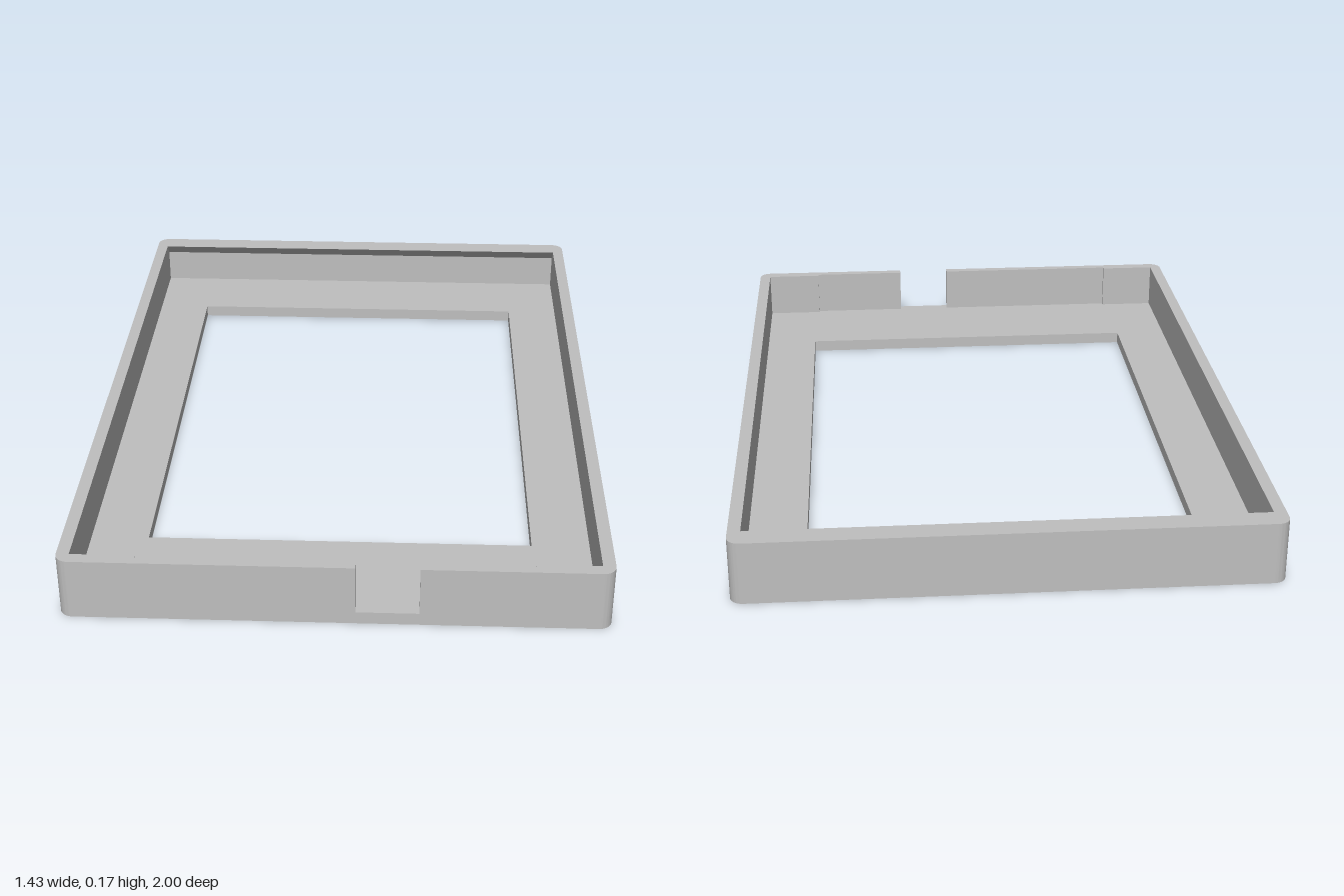
import * as THREE from 'three';
import { toCreasedNormals } from 'three/addons/utils/BufferGeometryUtils.js';

const W = 0.717, L = 1, R = 0.035;         // outer half width, half length, corner radius
const FLOOR = 0.035, HEIGHT = 0.173;       // floor thickness, total height
const INX = 0.683, INZ = 0.965;            // inner faces of the walls
const NOTCH = [0.055, 0.22];               // opening in the front wall
const RECESS_X = 0.513, RECESS_Z = 0.975;  // thinned middle of the front wall

// Outer outline with rounded corners, starting and ending on the front edge
function outline(startX, endX) {
  const s = new THREE.Shape();
  s.moveTo(startX, -L);
  s.lineTo(W - R, -L);
  s.absarc(W - R, -L + R, R, -Math.PI / 2, 0);
  s.absarc(W - R, L - R, R, 0, Math.PI / 2);
  s.absarc(-W + R, L - R, R, Math.PI / 2, Math.PI);
  s.absarc(-W + R, -L + R, R, Math.PI, Math.PI * 1.5);
  s.lineTo(endX, -L);
  return s;
}

// Extrude a plan shape (drawn with y = -z) upwards from y0 to y1
function slab(shape, y0, y1) {
  const g = new THREE.ExtrudeGeometry(shape, { depth: y1 - y0, bevelEnabled: false, curveSegments: 8 });
  g.rotateX(-Math.PI / 2).translate(0, y0, 0);
  return toCreasedNormals(g, 0.6);
}

export function createModel() {
  const group = new THREE.Group();
  const grey = new THREE.MeshStandardMaterial({ color: 0xbfbfbf });
  grey.name = 'light grey';
  const add = (name, geometry) => {
    const mesh = new THREE.Mesh(geometry, grey);
    mesh.name = name;
    group.add(mesh);
  };

  // Floor plate with the window opening, slightly off centre
  const floor = outline(0, 0);
  const win = new THREE.Path();
  win.moveTo(-0.525, -0.682);
  win.lineTo(-0.525, 0.742);
  win.lineTo(0.525, 0.742);
  win.lineTo(0.525, -0.682);
  win.closePath();
  floor.holes.push(win);
  add('floorFrame', slab(floor, 0, FLOOR));

  // Surrounding wall, open at the notch and thinner around it
  const wall = outline(NOTCH[1], NOTCH[0]);
  [
    [NOTCH[0], -RECESS_Z], [-RECESS_X, -RECESS_Z], [-RECESS_X, -INZ], [-INX, -INZ],
    [-INX, INZ], [INX, INZ],
    [INX, -INZ], [RECESS_X, -INZ], [RECESS_X, -RECESS_Z], [NOTCH[1], -RECESS_Z],
  ].forEach(([x, y]) => wall.lineTo(x, y));
  wall.closePath();
  add('outerWall', slab(wall, FLOOR, HEIGHT));

  // Sloped retaining lip along the top of the back wall
  const lip = new THREE.Shape();
  lip.moveTo(-INZ, HEIGHT - 0.035);
  lip.lineTo(-0.935, HEIGHT);
  lip.lineTo(-INZ, HEIGHT);
  lip.closePath();
  const lipGeometry = new THREE.ExtrudeGeometry(lip, { depth: INX * 2, bevelEnabled: false });
  lipGeometry.rotateY(-Math.PI / 2).translate(INX, 0, 0);
  add('backLip', lipGeometry);

  return group;
}
